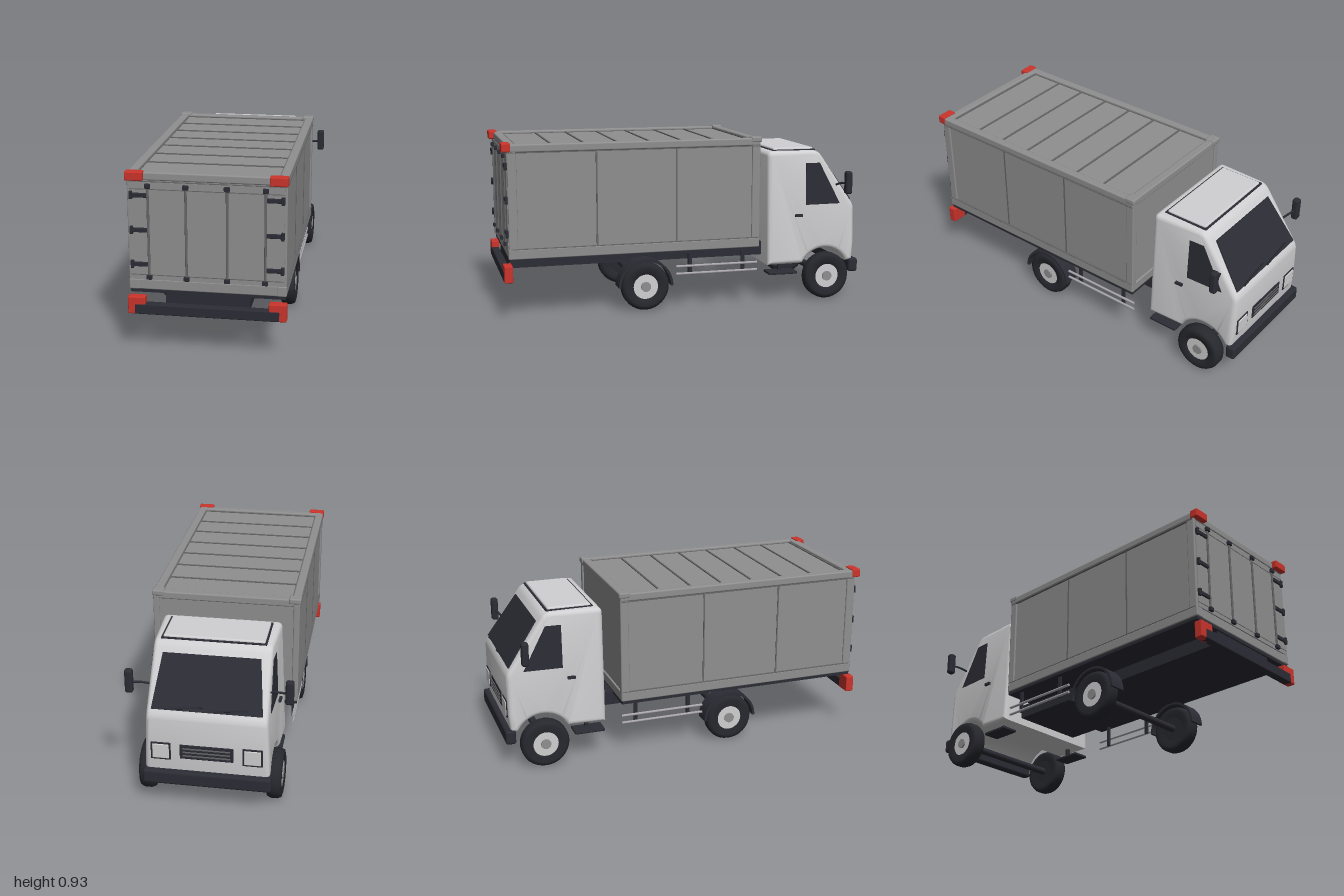
import * as THREE from 'three';
import { toCreasedNormals } from 'three/addons/utils/BufferGeometryUtils.js';
import { RoundedBoxGeometry } from 'three/addons/geometries/RoundedBoxGeometry.js';

const material = (name, color) => {
  const m = new THREE.MeshStandardMaterial({ color });
  m.name = name;
  return m;
};

export function createModel() {
  const truck = new THREE.Group();
  truck.name = 'boxTruck';
  const grey = material('containerGrey', 0x8f8f8f);
  const seam = material('seamGrey', 0x666668);
  const white = material('cabPaint', 0xd0cfd1);
  const dark = material('darkTrim', 0x2c2c35);
  const rubber = material('tyreRubber', 0x27282e);
  const red = material('redCorner', 0xcb342b);
  const steel = material('railSteel', 0xa9a6ab);

  const add = (name, geo, mat, x = 0, y = 0, z = 0) => {
    const m = new THREE.Mesh(geo, mat);
    m.name = name;
    m.position.set(x, y, z);
    truck.add(m);
    return m;
  };
  // Box given by its ranges on each axis, optionally rounded
  const box = (name, mat, [x0, x1], [y0, y1], [z0, z1], r = 0) => {
    const s = [x1 - x0, y1 - y0, z1 - z0];
    const geo = r ? new RoundedBoxGeometry(...s, 2, r) : new THREE.BoxGeometry(...s);
    return add(name, geo, mat, (x0 + x1) / 2, (y0 + y1) / 2, (z0 + z1) / 2);
  };
  // The same box on both sides
  const pair = (name, mat, [x0, x1], y, z, r) => {
    box(name + 'Left', mat, [x0, x1], y, z, r);
    box(name + 'Right', mat, [-x1, -x0], y, z, r);
  };
  // Side profile in (-z, y), extruded along x
  const sideExtrude = (shape, x0, x1, opts = {}) =>
    new THREE.ExtrudeGeometry(shape, { depth: x1 - x0, bevelEnabled: false, curveSegments: 20, ...opts })
      .rotateY(Math.PI / 2).translate(x0, 0, 0);
  const polygon = (pts) => new THREE.Shape(pts.map(([a, b]) => new THREE.Vector2(a, b)));

  // Cargo container
  box('containerBody', grey, [-0.38, 0.38], [0.33, 0.903], [-0.377, 0.965]);
  pair('roofSideRail', grey, [0.345, 0.39], [0.877, 0.918], [-0.385, 0.97], 0.008);
  pair('bottomSideRail', grey, [0.34, 0.389], [0.322, 0.375], [-0.385, 0.975], 0.006);
  for (const [end, z] of [['front', [-0.386, -0.34]], ['rear', [0.925, 0.972]]]) {
    box(end + 'RoofRail', grey, [-0.385, 0.385], [0.877, 0.918], z, 0.008);
    box(end + 'BottomRail', grey, [-0.385, 0.385], [0.322, 0.375], z, 0.006);
    pair(end + 'CornerPost', grey, [0.355, 0.388], [0.33, 0.9], z, 0.006);
  }
  for (const z of [0.51, 0.08]) pair('sidePanelSeam', seam, [0.378, 0.383], [0.375, 0.878], [z - 0.004, z + 0.004]);
  for (const y of [0.375, 0.875]) pair('sideRailSeam', seam, [0.378, 0.3905], [y - 0.002, y + 0.002], [-0.38, 0.965]);
  for (const z of [-0.34, -0.155, 0.025, 0.2, 0.375, 0.555, 0.73, 0.92])
    box('roofRib', seam, [-0.34, 0.34], [0.9, 0.908], [z - 0.005, z + 0.005]);
  pair('roofSeam', seam, [0.341, 0.346], [0.9, 0.906], [-0.34, 0.92]);
  pair('frontRoofCorner', grey, [0.33, 0.393], [0.895, 0.925], [-0.393, -0.335], 0.008);
  pair('rearRoofCorner', red, [0.305, 0.393], [0.88, 0.925], [0.953, 1], 0.006);

  // Rear doors with locking rods, clamps and hinges
  box('rearDoors', grey, [-0.375, 0.375], [0.375, 0.87], [0.96, 0.975]);
  for (const y of [0.4, 0.835, 0.873]) box('doorSeam', seam, [-0.375, 0.375], [y - 0.002, y + 0.002], [0.97, 0.9765]);
  for (const x of [-0.285, -0.1, 0.1, 0.285]) {
    box('lockingRod', seam, [x - 0.006, x + 0.006], [0.385, 0.86], [0.972, 0.983], 0.004);
    for (const y of [0.39, 0.852]) box('rodClamp', dark, [x - 0.014, x + 0.014], [y - 0.011, y + 0.011], [0.97, 0.99], 0.003);
  }
  for (const y of [0.455, 0.63, 0.805]) {
    pair('hingeArm', dark, [0.29, 0.37], [y - 0.011, y + 0.011], [0.97, 0.984], 0.003);
    pair('hingePlate', dark, [0.36, 0.376], [y - 0.02, y + 0.02], [0.97, 0.987], 0.003);
  }

  // Chassis and rear bumper
  box('containerFloor', dark, [-0.384, 0.384], [0.306, 0.323], [-0.382, 0.968]);
  box('chassisBeam', dark, [-0.21, 0.21], [0.24, 0.315], [-0.5, 0.96]);
  box('rearBumperBar', dark, [-0.36, 0.36], [0.2, 0.254], [0.957, 1.001], 0.006);
  pair('rearBumperCorner', red, [0.305, 0.393], [0.2, 0.29], [0.955, 1], 0.006);
  for (const side of [-1, 1]) for (const y of [0.192, 0.233])
    add('sideGuardRail', new THREE.CylinderGeometry(0.007, 0.007, 0.46, 10).rotateX(Math.PI / 2), steel, side * 0.366, y, -0.15);
  for (const z of [0.0, -0.3]) pair('sideGuardBracket', dark, [0.35, 0.362], [0.187, 0.31], [z - 0.01, z + 0.01]);

  // Wheels: tyre, rim and hub cap, with axles
  const tyre = new THREE.LatheGeometry([[0.068, -0.034], [0.105, -0.04], [0.122, -0.035], [0.13, -0.018], [0.13, 0.018],
    [0.122, 0.035], [0.105, 0.04], [0.068, 0.034], [0.066, 0.02]].map((p) => new THREE.Vector2(...p)), 32).rotateZ(-Math.PI / 2);
  const disc = (r, d) => new THREE.CylinderGeometry(r, r, d, 28).rotateZ(Math.PI / 2);
  for (const [end, z] of [['front', -0.797], ['rear', 0.245]]) {
    add(end + 'Axle', disc(0.02, 0.6), dark, 0, 0.13, z);
    for (const side of [-1, 1]) {
      add(end + 'Tyre', tyre, rubber, side * 0.328, 0.13, z);
      add(end + 'WheelInner', disc(0.07, 0.02), rubber, side * 0.305, 0.13, z);
      add(end + 'Rim', disc(0.069, 0.03), white, side * 0.343, 0.13, z);
      add(end + 'HubCap', disc(0.027, 0.02), grey, side * 0.357, 0.13, z);
    }
  }

  // Rear mudguards
  const guard = new THREE.Shape();
  guard.absarc(-0.245, 0.132, 0.15, 0, Math.PI, false);
  guard.absarc(-0.245, 0.132, 0.137, Math.PI, 0, true);
  for (const x of [0.282, -0.37]) add('rearMudguard', toCreasedNormals(sideExtrude(guard, x, x + 0.088), 0.6), dark);

  // Cab: side profile with wheel arch, narrowing towards roof and nose
  const taper = (geo) => {
    const p = geo.attributes.position;
    for (let i = 0; i < p.count; i++)
      p.setX(i, p.getX(i) * (1 - 0.13 * (p.getY(i) - 0.2) - 0.115 * (-p.getZ(i) - 0.46)));
    geo.computeVertexNormals();
    return toCreasedNormals(geo, 0.6);
  };
  const cab = new THREE.Shape();
  cab.moveTo(0.458, 0.2);
  cab.lineTo(0.655, 0.2);
  cab.absarc(0.797, 0.13, 0.15, Math.PI - 0.48, 0.48, true);
  cab.lineTo(0.968, 0.2);
  cab.lineTo(0.978, 0.3);
  cab.lineTo(0.978, 0.49);
  cab.quadraticCurveTo(0.978, 0.515, 0.962, 0.539);
  cab.lineTo(0.783, 0.797);
  cab.quadraticCurveTo(0.762, 0.828, 0.73, 0.83);
  cab.lineTo(0.49, 0.832);
  cab.quadraticCurveTo(0.458, 0.832, 0.458, 0.8);
  cab.closePath();
  const b = 0.025;
  add('cabBody', taper(sideExtrude(cab, -0.337 + b, 0.337 - b,
    { bevelEnabled: true, bevelSize: b, bevelOffset: -b, bevelThickness: b, bevelSegments: 4 })), white);
  box('roofHatchSeal', dark, [-0.266, 0.266], [0.828, 0.836], [-0.75, -0.496], 0.003);
  box('roofHatch', white, [-0.256, 0.256], [0.825, 0.846], [-0.74, -0.506], 0.009);

  // Windscreen on the sloping front
  const slope = new THREE.Vector3(0, 0.822, 0.57);
  const normal = new THREE.Vector3(0, 0.57, -0.822);
  const basis = new THREE.Matrix4().makeBasis(new THREE.Vector3(-1, 0, 0), slope, normal).setPosition(0, 0.527, -0.971);
  const screen = polygon([[-0.277, 0.022], [0.277, 0.022], [0.245, 0.305], [-0.245, 0.305]]);
  add('windscreen', new THREE.ExtrudeGeometry(screen, { depth: 0.007, bevelEnabled: false }).applyMatrix4(basis), dark);
  for (const x of [-0.12, 0.1]) {
    const wiper = new THREE.BoxGeometry(0.2, 0.008, 0.008).rotateZ(0.1).translate(x, 0.035, 0.012).applyMatrix4(basis);
    add('wiper', wiper, rubber);
  }

  // Side windows, handles, door seams, mirrors and steps
  const glass = polygon([[0.682, 0.53], [0.888, 0.53], [0.765, 0.762], [0.682, 0.762]]);
  for (const side of [-1, 1]) {
    const x = side > 0 ? 0.335 : -0.341;
    add('sideWindow', taper(sideExtrude(glass, x, x + 0.006)), dark);
    const grip = polygon([[0.618, 0.466], [0.66, 0.466], [0.66, 0.48], [0.618, 0.48]]);
    add('doorHandle', taper(sideExtrude(grip, side > 0 ? 0.335 : -0.351, side > 0 ? 0.351 : -0.335)), dark);
    const arm = new THREE.CatmullRomCurve3([[0.285, 0.63, -0.86], [0.34, 0.65, -0.885], [0.4, 0.65, -0.895]]
      .map(([a, y, z]) => new THREE.Vector3(a * side, y, z)));
    add('mirrorArm', new THREE.TubeGeometry(arm, 8, 0.006, 8), dark);
  }
  pair('mirror', dark, [0.378, 0.419], [0.596, 0.722], [-0.915, -0.877], 0.012);
  pair('cabStep', dark, [0.24, 0.335], [0.145, 0.16], [-0.63, -0.465], 0.004);
  pair('stepBracket', dark, [0.25, 0.27], [0.15, 0.22], [-0.56, -0.54]);

  // Front bumper, headlights and grille
  box('frontBumper', dark, [-0.325, 0.325], [0.135, 0.212], [-1, -0.945], 0.014);
  pair('headlightFrame', dark, [0.18, 0.282], [0.272, 0.37], [-0.982, -0.96], 0.004);
  pair('headlight', white, [0.189, 0.273], [0.281, 0.361], [-0.986, -0.97], 0.004);
  box('grille', dark, [-0.135, 0.135], [0.285, 0.365], [-0.982, -0.96], 0.004);
  for (const y of [0.305, 0.325, 0.345]) box('grilleSlat', seam, [-0.12, 0.12], [y - 0.003, y + 0.003], [-0.986, -0.975]);
  return truck;
}
